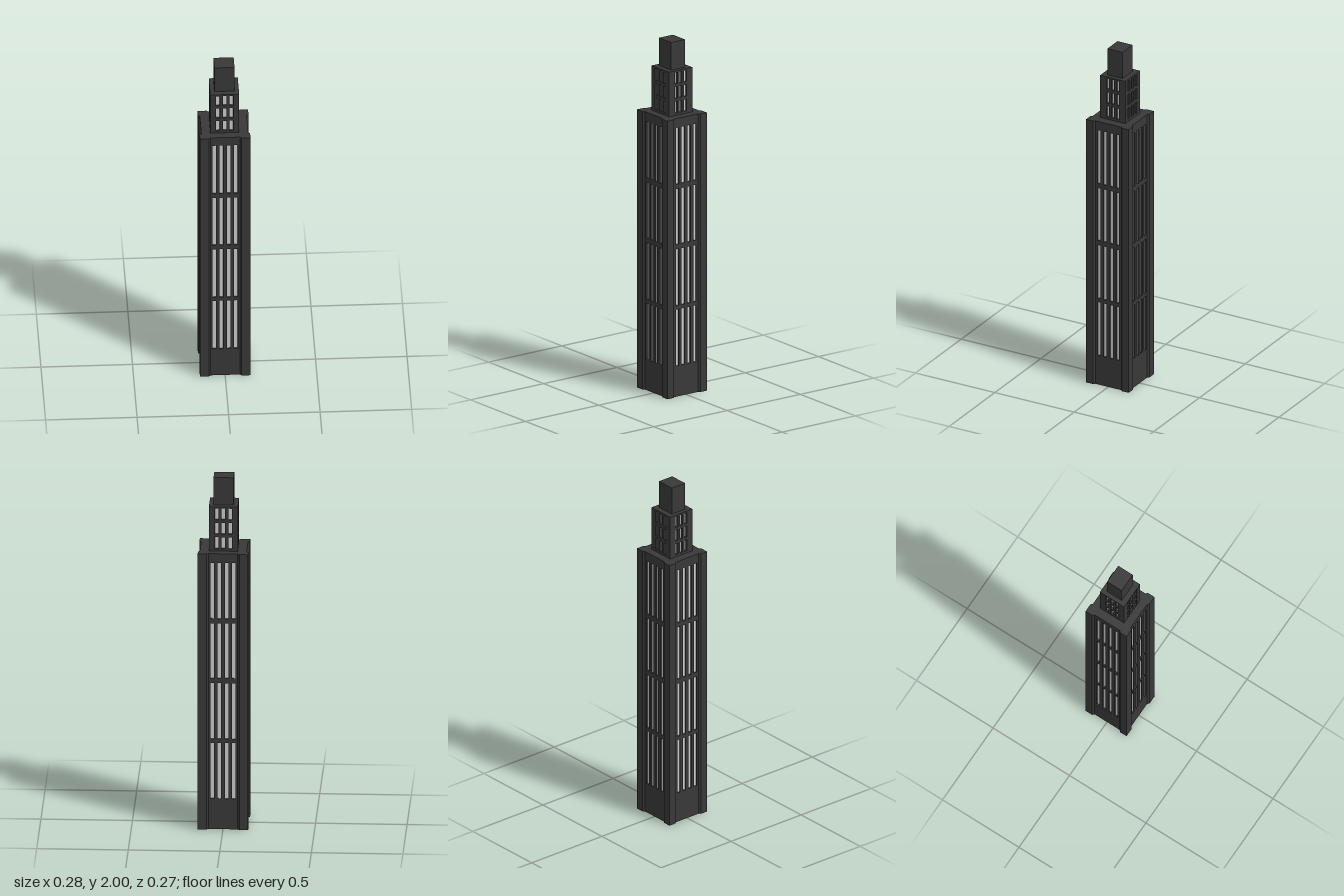
import * as THREE from 'three';

const dark = new THREE.MeshStandardMaterial({ color: 0x383838 });
const glass = new THREE.MeshStandardMaterial({ color: 0xcccccc });

function box(name, w, h, d, y, material = dark) {
  const mesh = new THREE.Mesh(new THREE.BoxGeometry(w, h, d), material);
  mesh.name = name;
  mesh.position.y = y + h / 2;
  return mesh;
}

// Wall panel with a grid of window openings; its outer face is at z = depth
function wall(name, width, y0, y1, depth, columns, paneWidth, rows) {
  const shape = new THREE.Shape();
  shape.moveTo(-width / 2, y0).lineTo(width / 2, y0).lineTo(width / 2, y1).lineTo(-width / 2, y1).closePath();
  for (const x of columns) {
    for (const [a, b] of rows) {
      const l = x - paneWidth / 2, r = x + paneWidth / 2;
      shape.holes.push(new THREE.Path().moveTo(l, a).lineTo(l, b).lineTo(r, b).lineTo(r, a).closePath());
    }
  }
  const geometry = new THREE.ExtrudeGeometry(shape, { depth, bevelEnabled: false });
  const mesh = new THREE.Mesh(geometry, dark);
  mesh.name = name;
  return mesh;
}

// Storey block: glazed core, closing slabs and four pierced walls
function tier(name, { hx, hz, y0, y1, recess, rows, front, side }) {
  const group = new THREE.Group();
  group.name = name;
  const w = 2 * (hx - recess), d = 2 * (hz - recess);
  const low = rows[0][0] - 0.004, high = rows[rows.length - 1][1] + 0.004;
  group.add(
    box('windowGlass', w, high - low, d, low, glass),
    box('floorSlab', w, low - y0, d, y0),
    box('roofSlab', w, y1 - high, d, high)
  );
  for (let i = 0; i < 4; i++) {
    const isSide = i % 2 === 1;
    const width = isSide ? d : 2 * hx;
    const { columns, pane } = isSide ? side : front;
    const panel = wall(['frontWall', 'leftWall', 'backWall', 'rightWall'][i], width, y0, y1, recess, columns, pane, rows);
    panel.rotation.y = i * Math.PI / 2;
    const offset = (isSide ? hx : hz) - recess;
    panel.position.set(Math.sin(panel.rotation.y) * offset, 0, Math.cos(panel.rotation.y) * offset);
    group.add(panel);
  }
  return group;
}

export function createModel() {
  const model = new THREE.Group();
  model.name = 'tower';
  const shaftTop = 1.587, crownTop = 1.842;

  // Main shaft with four bands of tall windows
  const shaftBays = { columns: [-0.059, -0.02, 0.02, 0.059], pane: 0.02 };
  model.add(tier('shaft', {
    hx: 0.128, hz: 0.124, y0: 0, y1: shaftTop, recess: 0.008,
    rows: [[0.175, 0.497], [0.519, 0.841], [0.868, 1.185], [1.212, 1.534]],
    front: shaftBays, side: shaftBays
  }));

  // Chamfered corner piers, mirrored to all corners
  const profile = [[0.138, 0.134], [0.09, 0.134], [0.08, 0.124], [0.08, 0.082], [0.128, 0.082], [0.138, 0.091]];
  for (const sx of [-1, 1]) {
    for (const sz of [-1, 1]) {
      // the shape's y becomes -z once the extrusion is stood upright
      const shape = new THREE.Shape(profile.map(([x, z]) => new THREE.Vector2(sx * x, -sz * z)));
      const geometry = new THREE.ExtrudeGeometry(shape, { depth: shaftTop, bevelEnabled: false });
      geometry.rotateX(-Math.PI / 2);
      const pier = new THREE.Mesh(geometry, dark);
      pier.name = 'cornerPier';
      model.add(pier);
    }
  }

  // Set-back upper storeys
  model.add(tier('upperStoreys', {
    hx: 0.079, hz: 0.079, y0: shaftTop, y1: crownTop, recess: 0.012,
    rows: [[1.6, 1.667], [1.684, 1.75], [1.767, 1.832]],
    front: { columns: [-0.037, 0, 0.037], pane: 0.02 },
    side: { columns: [-0.032, 0, 0.032], pane: 0.017 }
  }));

  // Plain block on the roof
  model.add(box('roofBlock', 0.11, 2 - crownTop, 0.095, crownTop));
  return model;
}
